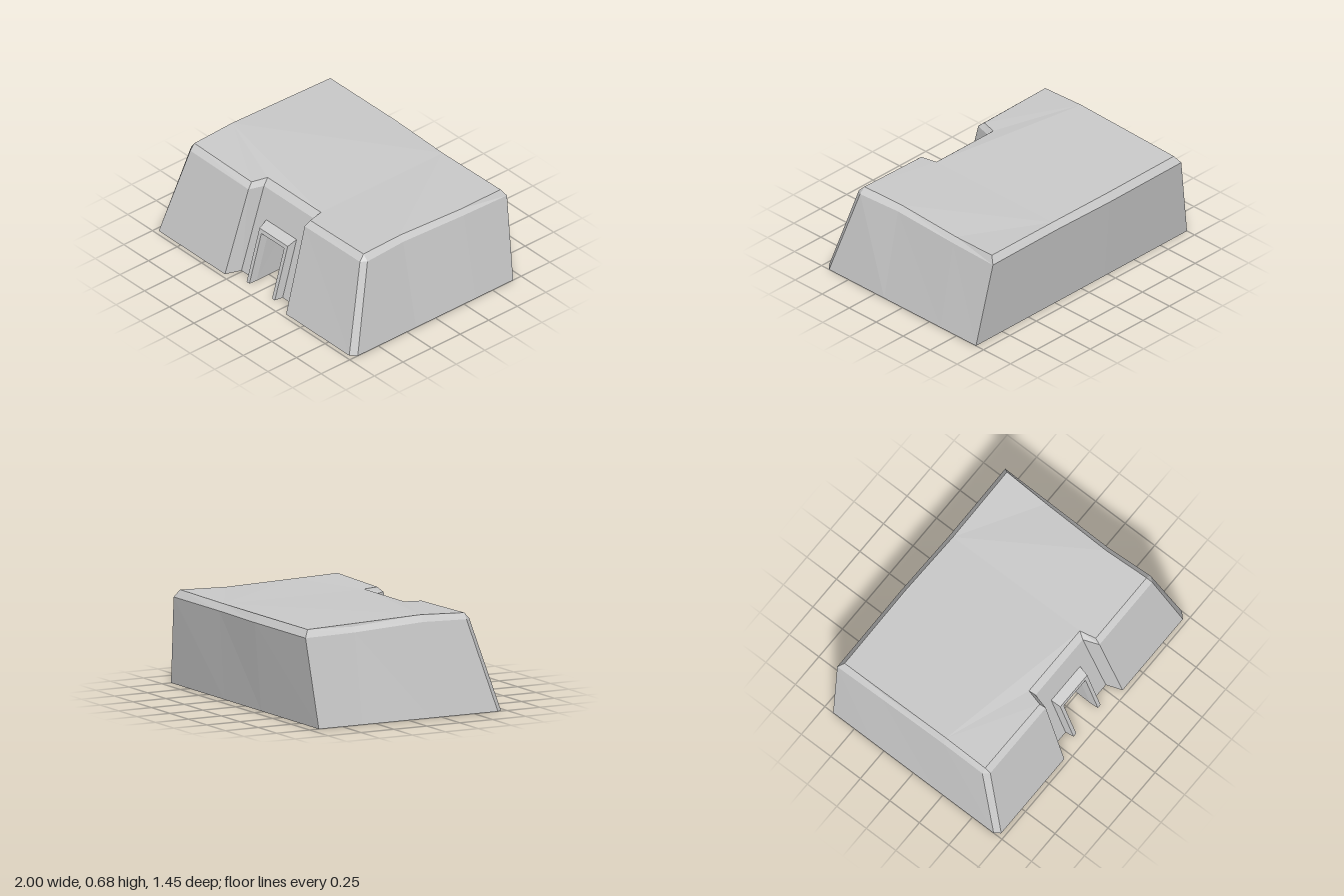
import * as THREE from 'three';

const material = new THREE.MeshStandardMaterial({
  color: 0xcccccc, flatShading: true, side: THREE.DoubleSide,
});

function makeMesh(name, geometry) {
  geometry.computeVertexNormals();
  const mesh = new THREE.Mesh(geometry, material);
  mesh.name = name;
  return mesh;
}

function fromTriangles(corners) {
  const geometry = new THREE.BufferGeometry();
  geometry.setAttribute('position', new THREE.Float32BufferAttribute(corners.flat(), 3));
  return geometry;
}

// Joins consecutive rings of equal length with quads; skip(k, i) leaves a quad out
function loft(rings, closed, skip = () => false) {
  const tris = [];
  for (let k = 0; k < rings.length - 1; k++) {
    const a = rings[k], b = rings[k + 1], n = a.length;
    for (let i = 0; i < (closed ? n : n - 1); i++) {
      if (skip(k, i)) continue;
      const j = (i + 1) % n;
      tris.push(a[i], b[i], b[j], a[i], b[j], a[j]);
    }
  }
  return fromTriangles(tris);
}

// Outlines of the hut, running along the front, then round the +x side and the back
const base = [
  [-0.97, 0.72], [-0.3, 0.72], [-0.26, 0.61], [0.28, 0.61], [0.32, 0.72], [0.96, 0.72],
  [1, 0.68], [1, 0.17], [1, -0.35], [1, -0.68],
  [0.28, -0.68], [-0.22, -0.68],
  [-1, -0.68], [-1, -0.35], [-1, 0.17], [-1, 0.68],
].map(([x, z]) => [x, 0, z]);

const rim = [
  [-0.86, 0.62, 0.54], [-0.27, 0.615, 0.54], [-0.24, 0.61, 0.43],
  [0.26, 0.61, 0.43], [0.3, 0.615, 0.54], [0.86, 0.62, 0.54],
  [0.89, 0.62, 0.5], [0.87, 0.62, 0.17], [0.88, 0.605, -0.35], [0.885, 0.6, -0.725],
  [0.28, 0.6, -0.72], [-0.22, 0.6, -0.73],
  [-0.9, 0.6, -0.725], [-0.895, 0.605, -0.35], [-0.895, 0.63, 0.17], [-0.895, 0.62, 0.5],
];

const roofEdge = [
  [-0.865, 0.66, 0.5], [-0.285, 0.65, 0.5], [-0.255, 0.65, 0.385],
  [0.285, 0.65, 0.385], [0.31, 0.65, 0.5], [0.85, 0.66, 0.5],
  [0.85, 0.66, 0.5], [0.835, 0.655, 0.17], [0.85, 0.64, -0.35], [0.86, 0.65, -0.69],
  [0.28, 0.645, -0.685], [-0.22, 0.65, -0.695],
  [-0.865, 0.65, -0.69], [-0.87, 0.64, -0.35], [-0.865, 0.675, 0.17], [-0.865, 0.66, 0.5],
];

// Depth of the leaning wall inside the entrance recess
const recessZ = (y) => 0.61 - 0.18 * y / 0.61;
const doorX = 0.005;

function roof() {
  const edge = roofEdge.filter((p, i) => i !== 6 && i !== 15);
  const flat = edge.map(([x, , z]) => new THREE.Vector2(x, -z));
  const faces = THREE.ShapeUtils.triangulateShape(flat, []);
  return fromTriangles(faces.flat().map((i) => edge[i]));
}

// Wall at the back of the recess, notched for the doorway
function recessWall() {
  const outline = [
    [-0.26, 0], [doorX - 0.112, 0], [doorX - 0.112, 0.352], [doorX + 0.112, 0.352],
    [doorX + 0.112, 0], [0.28, 0], [0.26, 0.61], [-0.24, 0.61],
  ].map(([x, y]) => new THREE.Vector2(x, y));
  const geometry = new THREE.ShapeGeometry(new THREE.Shape(outline));
  const pos = geometry.attributes.position;
  for (let i = 0; i < pos.count; i++) pos.setZ(i, recessZ(pos.getY(i)));
  return geometry;
}

// An upside-down U of the given half width and height
function arch(half, height, zAt) {
  return [[-half, 0], [-half, height], [half, height], [half, 0]]
    .map(([x, y]) => [doorX + x, y, zAt(y)]);
}

export function createModel() {
  const group = new THREE.Group();
  group.name = 'hut';

  // Leaning walls with a bevelled top edge, open underneath
  group.add(makeMesh('walls', loft([roofEdge, rim, base], true, (k, i) => k === 1 && i === 2)));
  group.add(makeMesh('roof', roof()));
  group.add(makeMesh('recessWall', recessWall()));

  // Door surround and the passage behind it
  const outer = arch(0.153, 0.412, recessZ);
  const front = arch(0.143, 0.382, (y) => recessZ(y) + 0.06);
  const inner = arch(0.115, 0.356, (y) => recessZ(y) + 0.06);
  const throat = arch(0.11, 0.35, recessZ);
  const end = arch(0.115, 0.35, () => 0.33);
  group.add(makeMesh('doorFrame', loft([outer, front, inner, throat], false)));
  group.add(makeMesh('doorPassage', loft([throat, end], false)));
  group.add(makeMesh('door', fromTriangles([end[0], end[3], end[2], end[0], end[2], end[1]])));

  return group;
}
